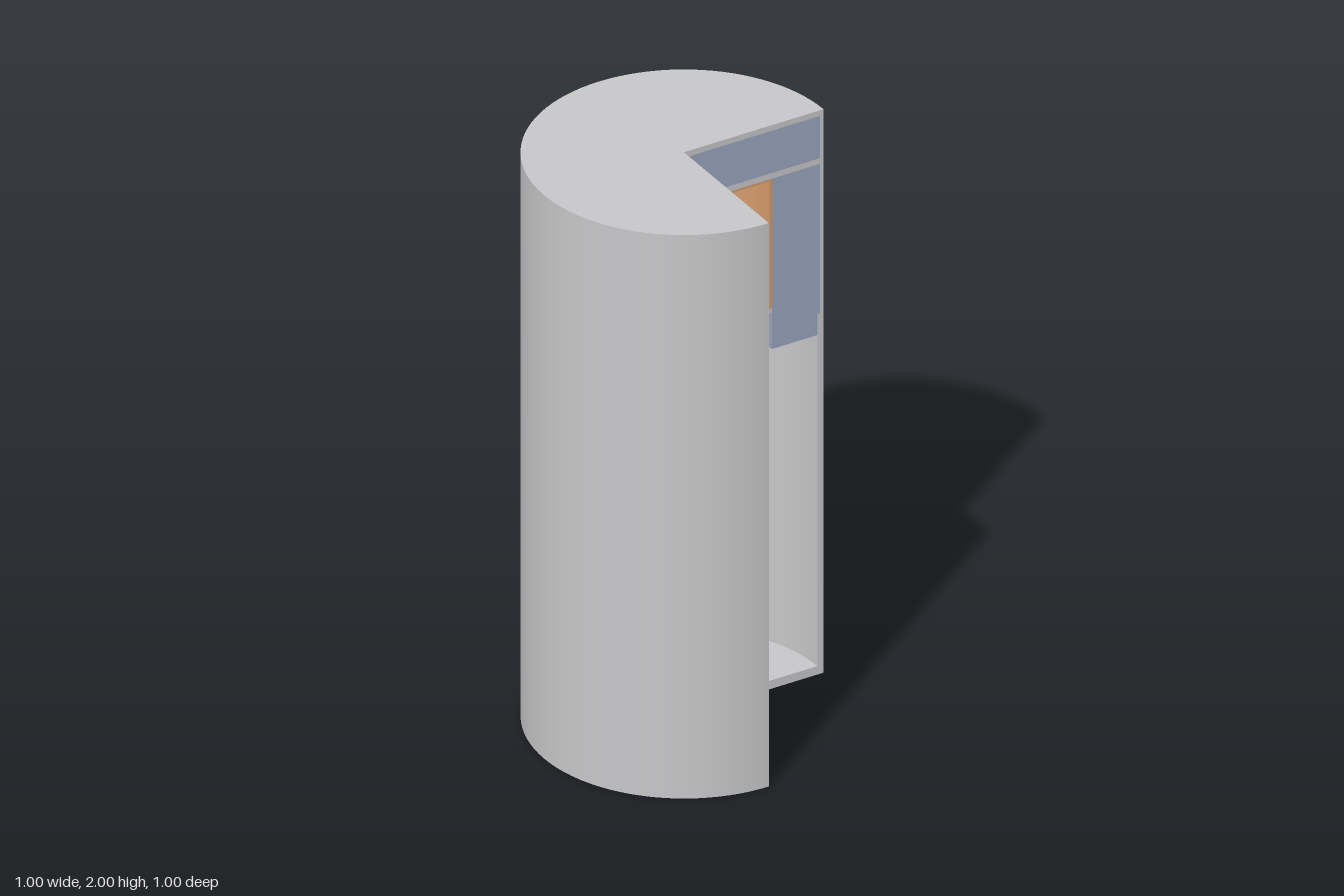
import * as THREE from 'three';
import { mergeGeometries } from 'three/addons/utils/BufferGeometryUtils.js';

const SEGMENTS = 72;
const START = Math.PI / 2;      // the +x +z quarter is cut away
const SWEEP = Math.PI * 1.5;

// Revolves a closed counter-clockwise [radius, y] outline by 270 degrees and closes both cut faces.
function cutaway(outline) {
  const pts = outline.map(([r, y]) => new THREE.Vector2(r, y));
  const pieces = [];
  pts.forEach((p, i) => {
    const q = pts[(i + 1) % pts.length];
    if (p.x === 0 && q.x === 0) return;
    pieces.push(new THREE.LatheGeometry([p, q], SEGMENTS, START, SWEEP)); // separate bands keep edges sharp
  });
  const faceZ = new THREE.ShapeGeometry(new THREE.Shape(pts));
  const faceX = faceZ.clone().rotateY(-Math.PI / 2);
  faceX.setIndex(Array.from(faceX.index.array).reverse());
  const n = faceX.attributes.normal;
  for (let i = 0; i < n.count; i++) n.setXYZ(i, 1, 0, 0);
  return mergeGeometries([...pieces, faceZ, faceX]);
}

// Rectangular outline from inner to outer radius
const ring = (r0, r1, y0, y1) => [[r0, y0], [r1, y0], [r1, y1], [r0, y1]];

export function createModel() {
  const model = new THREE.Group();
  model.name = 'cutawayCylinder';

  const material = (name, color) => {
    const m = new THREE.MeshStandardMaterial({ color });
    m.name = name;
    return m;
  };
  const grey = material('casingGrey', 0xc8c8ca);
  const blue = material('fillingBlue', 0x9ba6bf);
  const orange = material('linerOrange', 0xd59c6c);
  const green = material('rodGreen', 0x78bb88);

  const add = (name, mat, outline) => {
    const mesh = new THREE.Mesh(cutaway(outline), mat);
    mesh.name = name;
    model.add(mesh);
  };

  // Thin outer can with closed ends and a slightly thicker lower wall
  add('outerCasing', grey, [
    [0, 0], [0.5, 0], [0.5, 2], [0, 2], [0, 1.98], [0.487, 1.98],
    [0.487, 1.28], [0.478, 1.28], [0.478, 0.03], [0.29, 0.03], [0.29, 0.04], [0, 0.04],
  ]);

  // Upper filling: lid block, divider and thick sleeve
  add('topBlock', blue, ring(0, 0.487, 1.83, 1.98));
  add('topDivider', grey, ring(0, 0.487, 1.81, 1.83));
  add('upperSleeve', blue, [
    [0.315, 1.205], [0.478, 1.205], [0.478, 1.28], [0.487, 1.28], [0.487, 1.81], [0.315, 1.81],
  ]);

  // Liner of the upper chamber: floor ring, wall and ceiling
  add('chamberLiner', orange, [
    [0.155, 1.35], [0.315, 1.35], [0.315, 1.81], [0, 1.81],
    [0, 1.802], [0.306, 1.802], [0.306, 1.36], [0.155, 1.36],
  ]);

  // Central tube with its middle and top flanges
  add('centralTube', grey, [
    [0.155, 0.04], [0.172, 0.04], [0.172, 0.855], [0.29, 0.855], [0.29, 0.87],
    [0.305, 0.87], [0.305, 0.89], [0.172, 0.89], [0.172, 1.33], [0.305, 1.33],
    [0.305, 1.335], [0.315, 1.335], [0.315, 1.35], [0.155, 1.35],
  ]);

  // Filling around the tube and plug at its foot
  add('middleCollar', blue, ring(0.172, 0.305, 0.89, 1.33));
  add('lowerCollar', blue, ring(0.172, 0.29, 0.04, 0.855));
  add('bottomPlug', blue, ring(0, 0.155, 0.04, 0.205));

  // Rod held inside the tube
  add('centralRod', green, ring(0, 0.13, 0.54, 1.61));

  return model;
}
